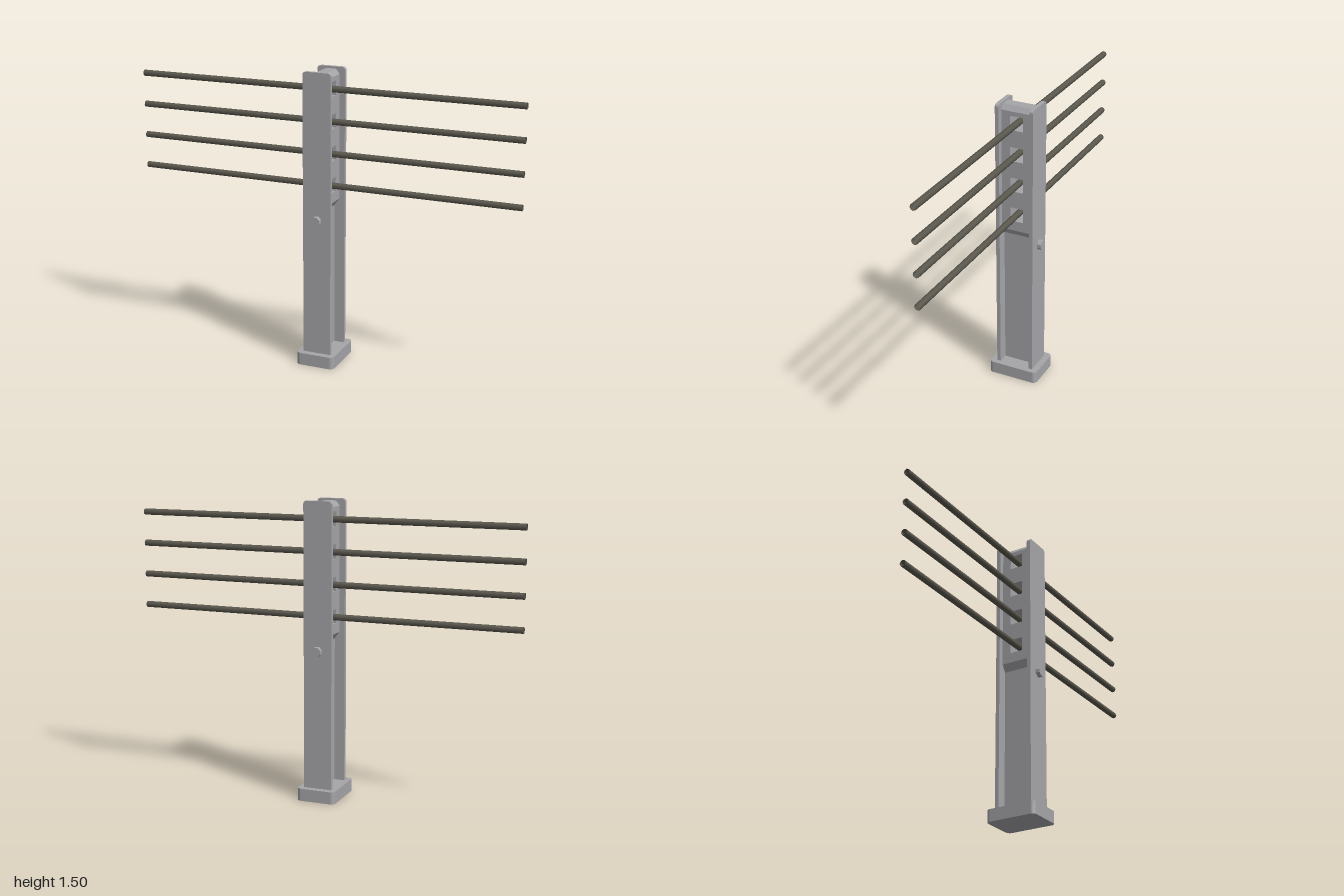
import * as THREE from 'three';

// Rectangle from (x0, y0) to (x1, y1) with separate bottom and top corner radii
function roundedRect(x0, y0, x1, y1, rBottom, rTop) {
  const s = new THREE.Shape();
  s.moveTo(x0 + rBottom, y0);
  s.lineTo(x1 - rBottom, y0);
  if (rBottom) s.absarc(x1 - rBottom, y0 + rBottom, rBottom, -Math.PI / 2, 0);
  s.lineTo(x1, y1 - rTop);
  if (rTop) s.absarc(x1 - rTop, y1 - rTop, rTop, 0, Math.PI / 2);
  s.lineTo(x0 + rTop, y1);
  if (rTop) s.absarc(x0 + rTop, y1 - rTop, rTop, Math.PI / 2, Math.PI);
  s.lineTo(x0, y0 + rBottom);
  if (rBottom) s.absarc(x0 + rBottom, y0 + rBottom, rBottom, Math.PI, Math.PI * 1.5);
  return s;
}

// Extrusion centred on its own depth
function slab(shape, depth) {
  return new THREE.ExtrudeGeometry(shape, { depth, bevelEnabled: false, curveSegments: 4 })
    .translate(0, 0, -depth / 2);
}

export function createModel() {
  const group = new THREE.Group();
  const steel = new THREE.MeshStandardMaterial({ name: 'steel grey', color: 0xa5a4a8 });
  const darkMetal = new THREE.MeshStandardMaterial({
    name: 'dark rail', color: 0x5a574d, side: THREE.DoubleSide,
  });
  const add = (name, geometry, material, x = 0, y = 0, z = 0) => {
    const mesh = new THREE.Mesh(geometry, material);
    mesh.name = name;
    mesh.position.set(x, y, z);
    group.add(mesh);
    return mesh;
  };
  const railHeights = [0.923, 1.084, 1.245, 1.406];

  // Foot plate with rounded vertical corners
  add('basePlate', slab(roundedRect(-0.1, -0.133, 0.1, 0.133, 0.022, 0.022), 0.063)
    .rotateX(-Math.PI / 2), steel, 0, 0.0315, 0);

  // Front and back flanges, each with an eight-sided bolt head
  const flange = slab(roundedRect(-0.073, 0.063, 0.073, 1.5, 0, 0.016), 0.02);
  const bolt = new THREE.CylinderGeometry(0.025, 0.025, 0.024, 8).toNonIndexed();
  bolt.computeVertexNormals();
  bolt.rotateY(Math.PI / 8).rotateX(Math.PI / 2);
  for (const [side, sign] of [['front', 1], ['back', -1]]) {
    add(side + 'Flange', flange, steel, 0, 0, sign * 0.09);
    add(side + 'Bolt', bolt, steel, 0, 0.764, sign * 0.11);
  }

  // Thin lower web, flaring out to the thicker upper web
  add('lowerWeb', slab(new THREE.Shape([
    [-0.02, 0.06], [0.02, 0.06], [0.02, 0.8], [0.045, 0.835], [-0.045, 0.835], [-0.02, 0.8],
  ].map(p => new THREE.Vector2(...p))), 0.16), steel);

  // Thick upper web pierced by square rail openings
  const upper = roundedRect(-0.08, 0.835, 0.08, 1.465, 0, 0);
  for (const y of railHeights) {
    upper.holes.push(new THREE.Path([[-1, -1], [-1, 1], [1, 1], [1, -1]]
      .map(([u, v]) => new THREE.Vector2(u * 0.034, y + v * 0.036))));
  }
  add('upperWeb', slab(upper, 0.09).rotateY(Math.PI / 2), steel);

  // Chamfered cap of the web
  add('webCap', slab(new THREE.Shape([
    [-0.045, 1.465], [0.045, 1.465], [0.025, 1.49], [-0.025, 1.49],
  ].map(p => new THREE.Vector2(...p))), 0.16), steel);

  // Open-ended rails running through the post
  const rail = new THREE.CylinderGeometry(0.016, 0.016, 2, 8, 1, true).rotateZ(Math.PI / 2);
  railHeights.forEach((y, i) => add('rail' + (i + 1), rail, darkMetal, 0, y, 0));

  return group;
}
